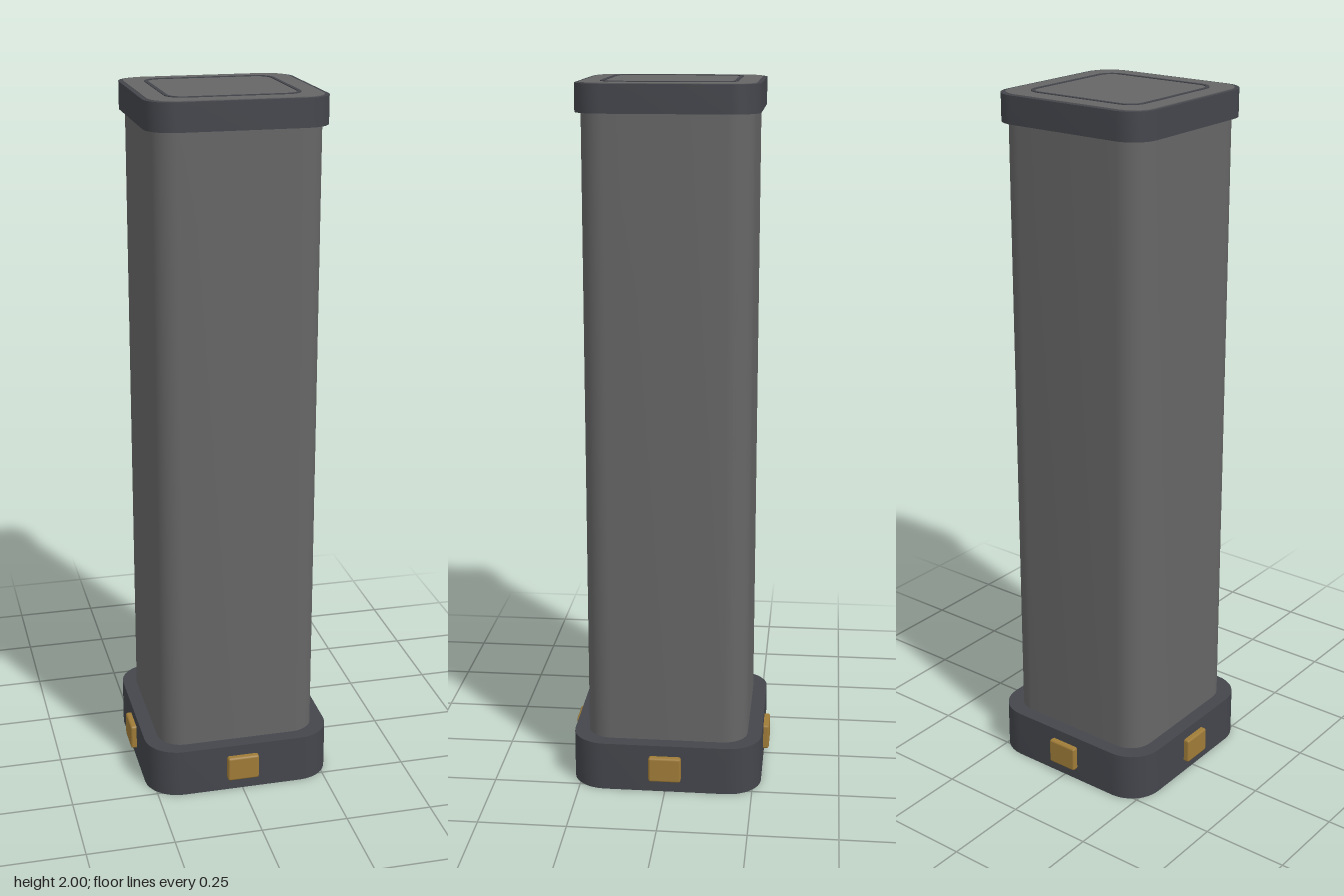
import * as THREE from 'three';
import { toCreasedNormals } from 'three/addons/utils/BufferGeometryUtils.js';
import { RoundedBoxGeometry } from 'three/addons/geometries/RoundedBoxGeometry.js';

const dark = new THREE.MeshStandardMaterial({ color: 0x44464c });
const grey = new THREE.MeshStandardMaterial({ color: 0x666666 });
const brass = new THREE.MeshStandardMaterial({ color: 0xa07c38 });

// Traces a rounded square of half-width h and corner radius r
function roundedSquare(path, h, r) {
  const c = h - r;
  const corners = [[c, c], [-c, c], [-c, -c], [c, -c]];
  path.moveTo(h, -c);
  corners.forEach(([x, y], i) => path.absarc(x, y, r, i * Math.PI / 2, (i + 1) * Math.PI / 2, false));
  path.closePath();
  return path;
}

// Upright slab with a rounded-square outline and an optional matching hole
function slab(name, material, h, r, y0, y1, hole) {
  const shape = roundedSquare(new THREE.Shape(), h, r);
  if (hole) shape.holes.push(roundedSquare(new THREE.Path(), hole.h, hole.r));
  const geometry = new THREE.ExtrudeGeometry(shape, { depth: y1 - y0, bevelEnabled: false, curveSegments: 4 });
  geometry.rotateX(-Math.PI / 2);
  geometry.translate(0, y0, 0);
  const mesh = new THREE.Mesh(toCreasedNormals(geometry, 0.6), material);
  mesh.name = name;
  return mesh;
}

export function createModel() {
  const model = new THREE.Group();
  model.name = 'post';

  // Plinth, shaft and cap
  model.add(
    slab('base', dark, 0.273, 0.097, 0, 0.142),
    slab('shaft', grey, 0.232, 0.07, 0.142, 1.92),
    slab('cap', dark, 0.247, 0.075, 1.92, 1.996)
  );

  // Inlaid panel on the cap with a thin square ring
  model.add(
    slab('capPanel', grey, 0.235, 0.065, 1.994, 1.998),
    slab('capRing', dark, 0.183, 0.05, 1.996, 2, { h: 0.173, r: 0.04 })
  );

  // One brass stud on each side of the base
  const studGeometry = new RoundedBoxGeometry(0.093, 0.074, 0.04, 1, 0.006);
  ['Front', 'Left', 'Back', 'Right'].forEach((side, i) => {
    const angle = i * Math.PI / 2;
    const stud = new THREE.Mesh(studGeometry, brass);
    stud.name = 'stud' + side;
    stud.position.set(Math.sin(angle) * 0.27, 0.073, Math.cos(angle) * 0.27);
    stud.rotation.y = angle;
    model.add(stud);
  });

  return model;
}
